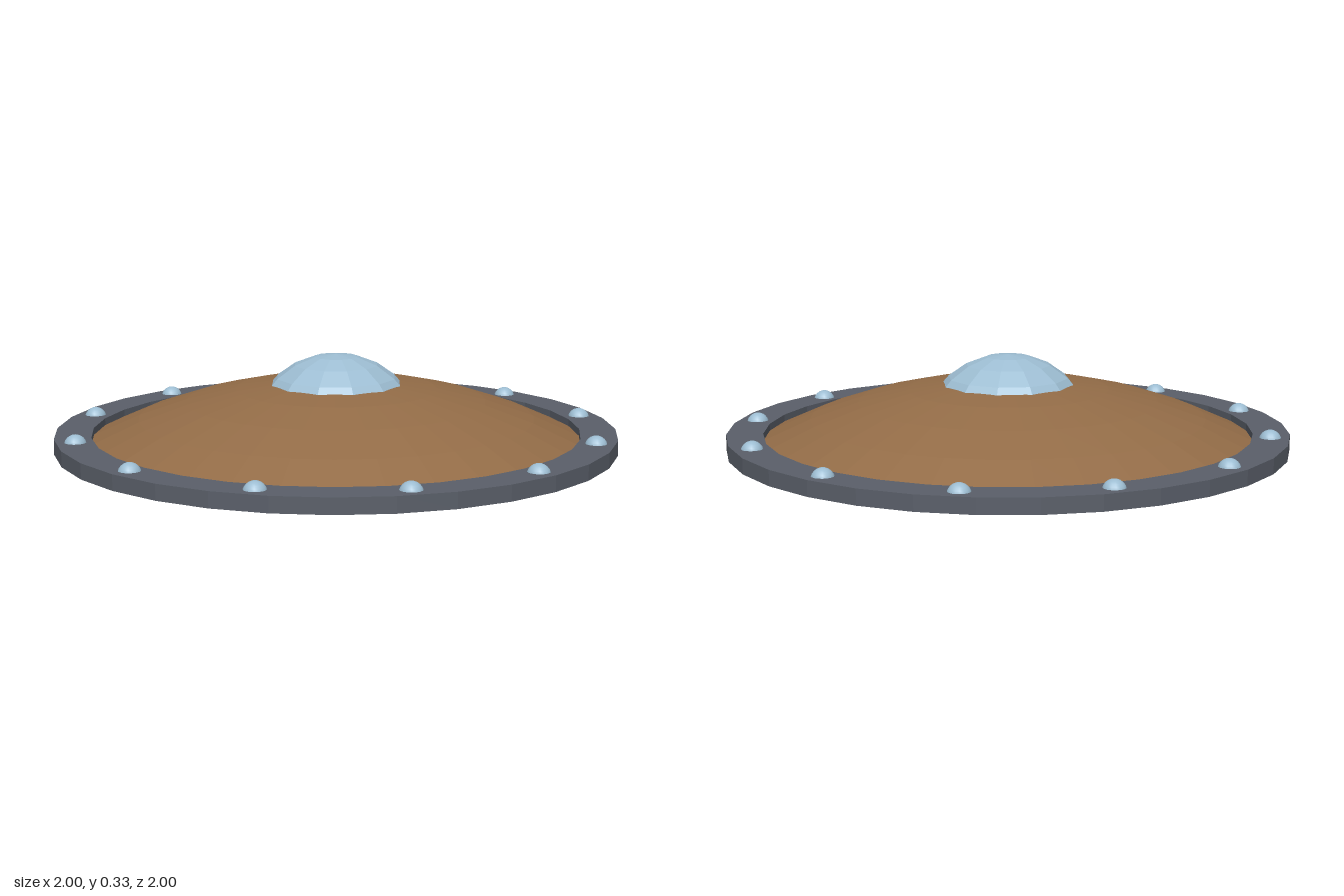
import * as THREE from 'three';

const V = (x, y) => new THREE.Vector2(x, y);
const mat = (color, opts = {}) => new THREE.MeshStandardMaterial({ color, ...opts });

// Points of a circular arc from radius r down to the axis, topped at height top
function arc(r, curveRadius, top, steps) {
  const a = Math.asin(r / curveRadius);
  return Array.from({ length: steps + 1 }, (_, i) => {
    const t = a * (1 - i / steps);
    return V(curveRadius * Math.sin(t), top - curveRadius * (1 - Math.cos(t)));
  });
}

export function createModel() {
  const model = new THREE.Group();
  model.name = 'roundShield';

  const iron = mat(0x5a5f69, { flatShading: true });
  const wood = mat(0x936c47, { flatShading: true, side: THREE.DoubleSide });
  const steel = mat(0x9dbdd2, { flatShading: true });
  const studSteel = mat(0x9dbdd2);

  const add = (name, geometry, material) => {
    const mesh = new THREE.Mesh(geometry, material);
    mesh.name = name;
    model.add(mesh);
    return mesh;
  };

  // Flat iron ring around the edge
  const rimInner = 0.87, rimHeight = 0.055;
  add('rim', new THREE.LatheGeometry([
    V(rimInner, 0), V(1, 0), V(1, rimHeight), V(rimInner, rimHeight), V(rimInner, 0),
  ], 32), iron);

  // Shallow domed wooden face, a thin shell open underneath
  add('woodenFace', new THREE.LatheGeometry(arc(rimInner, 1.93, 0.237, 5), 32), wood);

  // Central boss with a flat closed underside
  add('boss', new THREE.LatheGeometry([V(0, 0.185), ...arc(0.266, 0.32, 0.327, 4)], 12), steel);

  // Twelve studs set into the rim
  const studGeometry = new THREE.SphereGeometry(0.04, 16, 12);
  for (let i = 0; i < 12; i++) {
    const a = (i / 12) * Math.PI * 2;
    add('rimStud', studGeometry, studSteel)
      .position.set(0.93 * Math.cos(a), 0.043, 0.93 * Math.sin(a));
  }
  return model;
}
